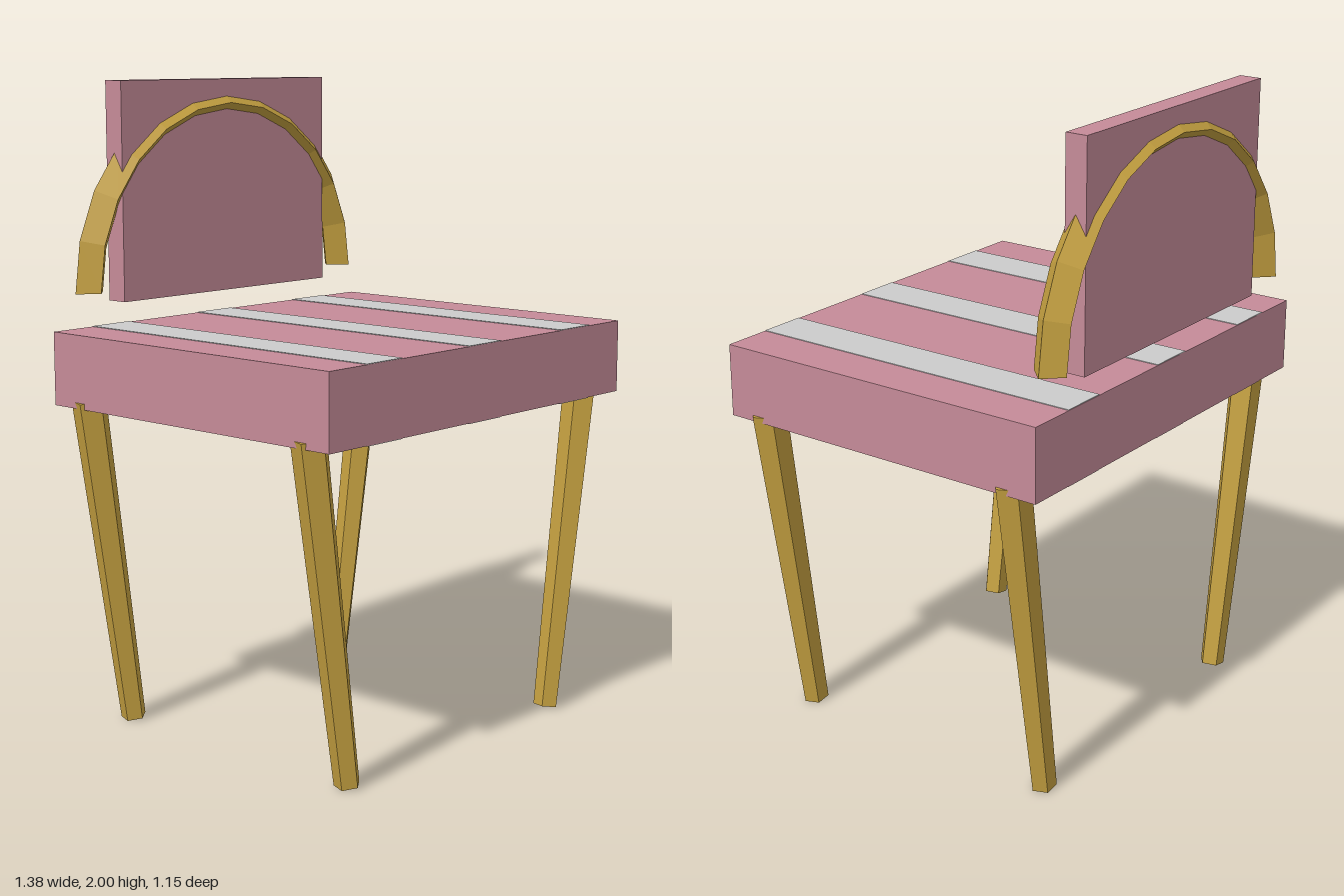
import * as THREE from 'three';

const material = (color, extra = {}) => new THREE.MeshStandardMaterial({ color, ...extra });

export function createModel() {
  const chair = new THREE.Group();
  chair.name = 'chair';

  const pink = material(0xc58b98);
  const grey = material(0xcccccc);
  const gold = material(0xc4a040, { flatShading: true, side: THREE.DoubleSide });

  const add = (name, geometry, mat, x, y, z) => {
    const mesh = new THREE.Mesh(geometry, mat);
    mesh.name = name;
    mesh.position.set(x, y, z);
    chair.add(mesh);
    return mesh;
  };

  // Seat slab with three stripes standing a hair proud above and below
  add('seat', new THREE.BoxGeometry(1.36, 0.226, 1.13), pink, 0, 1.135, 0.01);
  for (const x of [-0.45, 0, 0.45]) {
    add('seatStripe', new THREE.BoxGeometry(0.15, 0.23, 1.128), grey, x, 1.135, 0.01);
  }

  // Backrest panel
  add('backPanel', new THREE.BoxGeometry(0.905, 0.677, 0.07), pink, 0, 1.6615, -0.52);

  // Half-round hoop with a diamond section, running through the panel
  add('backHoop', new THREE.TorusGeometry(0.565, 0.055, 4, 12, Math.PI), gold, 0, 1.36, -0.52);

  // Tapered five-sided legs, splayed outwards at the top
  const legGeometry = new THREE.CylinderGeometry(0.055, 0.04, 1.053, 5);
  for (const side of [-1, 1]) {
    for (const end of [-1, 1]) {
      const leg = add(end > 0 ? 'frontLeg' : 'backLeg', legGeometry, gold,
        side * 0.561, 0.526, 0.01 + end * 0.455);
      leg.rotation.z = -side * 0.15;
    }
  }

  return chair;
}
